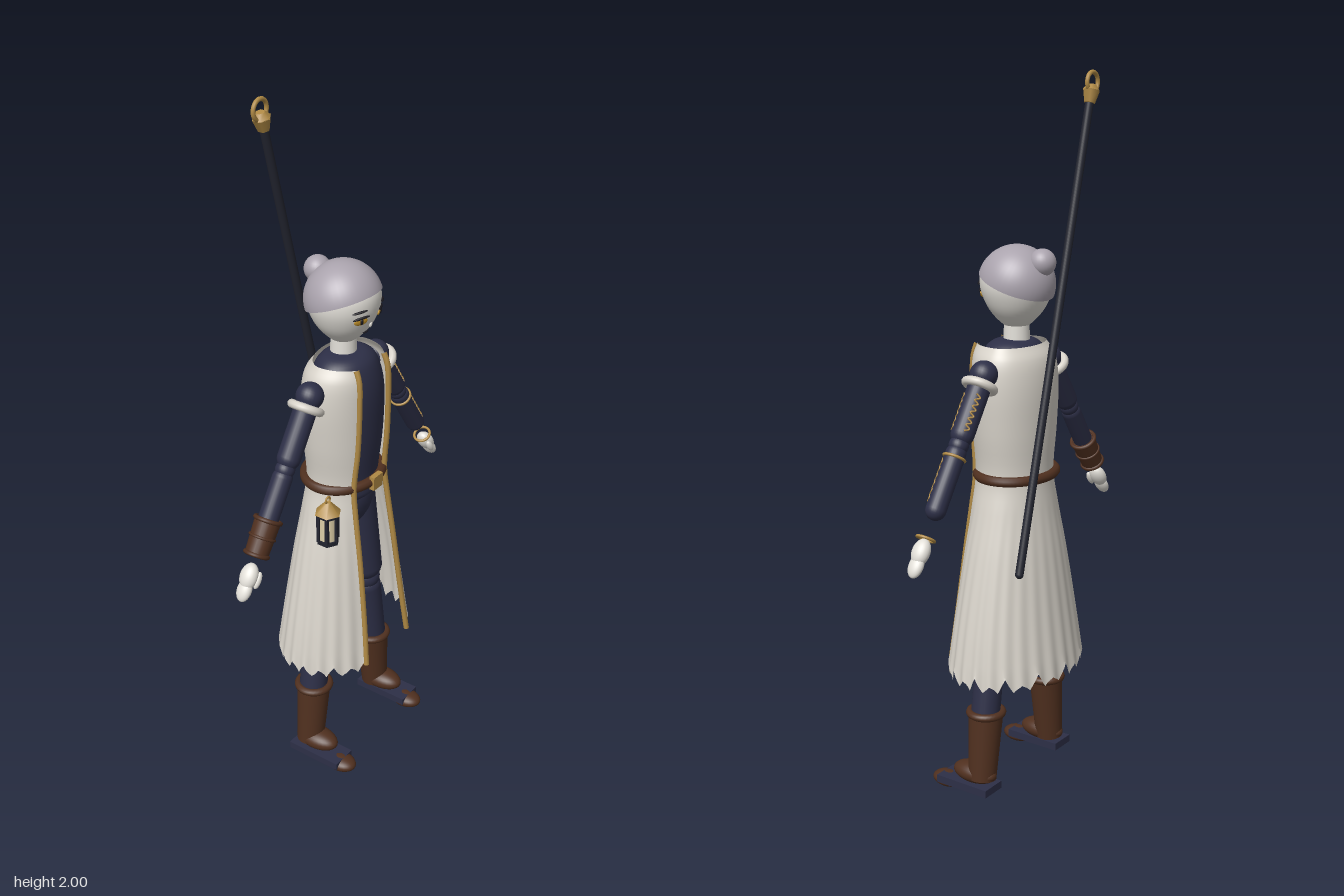
import * as THREE from 'three';

const mat = (name, color, double) => {
  const m = new THREE.MeshStandardMaterial({ color });
  m.name = name;
  if (double) m.side = THREE.DoubleSide;
  return m;
};
const V = (x, y, z = 0) => new THREE.Vector3(x, y, z);

export function createModel() {
  const coatCream = mat('coatCream', 0xd8d3ca, true);
  const skin = mat('skin', 0xe2dfd8);
  const hair = mat('hair', 0xaaa3ad, true);
  const navy = mat('navy', 0x2d2f47);
  const staffDark = mat('staffDark', 0x232530);
  const brown = mat('brown', 0x50301f);
  const gold = mat('gold', 0xb08a45);
  const amber = mat('amber', 0xc8962c, true);
  const ink = mat('ink', 0x1c1a20, true);
  const glow = mat('glow', 0xf2e2b8);

  const model = new THREE.Group();
  const add = (parent, name, geo, m, x = 0, y = 0, z = 0, sx = 1, sy = 1, sz = 1) => {
    const mesh = new THREE.Mesh(geo, m);
    mesh.name = name;
    mesh.position.set(x, y, z);
    mesh.scale.set(sx, sy, sz);
    parent.add(mesh);
    return mesh;
  };
  const ball = (r) => new THREE.SphereGeometry(r, 28, 18);
  const tube = (pts, r, n = 48) => new THREE.TubeGeometry(new THREE.CatmullRomCurve3(pts), n, r, 8);
  // Rounded limb between two points
  const limb = (parent, name, a, b, r, m) => {
    const d = b.clone().sub(a);
    const mesh = add(parent, name, new THREE.CapsuleGeometry(r, Math.max(d.length() - r, 0.01), 8, 24), m);
    mesh.position.copy(a).addScaledVector(d, 0.5);
    mesh.quaternion.setFromUnitVectors(V(0, 1), d.normalize());
    return mesh;
  };
  const lathe = (pts) => new THREE.LatheGeometry(
    new THREE.SplineCurve(pts.map(p => new THREE.Vector2(...p))).getPoints(30), 40);

  // Head, neck and hair
  add(model, 'head', lathe([[0.0005, 1.322], [0.03, 1.331], [0.062, 1.36], [0.085, 1.395], [0.099, 1.44], [0.094, 1.485], [0.06, 1.525], [0.0005, 1.54]]), skin);
  add(model, 'neck', new THREE.CylinderGeometry(0.034, 0.038, 0.12, 24), skin, 0, 1.3);
  add(model, 'hairCap', new THREE.SphereGeometry(0.106, 40, 20, 0, Math.PI * 2, 0, Math.PI / 2), hair, 0, 1.445).rotation.x = -0.36;
  add(model, 'hairBun', ball(0.037), hair, 0, 1.508, -0.083);

  // Face details as thin plates
  const face = (name, m, x, y, w, h, radius, tilt = 0) => {
    const z = Math.sqrt(radius * radius - x * x);
    const g = new THREE.Group();
    g.position.set(x, y, z);
    g.rotation.set(0.2, Math.atan2(x, z), 0, 'YXZ');
    add(g, name, new THREE.SphereGeometry(1, 16, 10), m, 0, 0, 0, w, h, 0.004).rotation.z = tilt;
    model.add(g);
  };
  for (const s of [-1, 1]) {
    face('eye', amber, s * 0.042, 1.417, 0.02, 0.011, 0.094);
    face('pupil', ink, s * 0.042, 1.417, 0.005, 0.009, 0.097);
    face('eyelash', ink, s * 0.044, 1.428, 0.025, 0.004, 0.098, -s * 0.12);
    face('eyebrow', ink, s * 0.05, 1.447, 0.022, 0.003, 0.101, -s * 0.12);
  }
  face('mouth', ink, 0, 1.368, 0.012, 0.002, 0.07);
  face('nose', skin, 0, 1.393, 0.005, 0.008, 0.086);

  // Tunic and hips
  add(model, 'tunic', lathe([[0.0005, 0.86], [0.1, 0.87], [0.104, 0.93], [0.118, 1.05], [0.12, 1.18], [0.1, 1.26], [0.07, 1.29], [0.032, 1.298]]), navy, 0, 0, 0.008, 1, 1, 0.79);
  add(model, 'hips', ball(1), navy, 0, 0.84, 0, 0.105, 0.1, 0.075);

  // Coat: rows of [y, half width, front depth, back depth, half opening]
  const rows = [
    [0.365, 0.227, 0.172, 0.166, 0.103], [0.5, 0.207, 0.155, 0.148, 0.093], [0.7, 0.168, 0.132, 0.122, 0.083],
    [0.83, 0.137, 0.118, 0.103, 0.078], [0.92, 0.118, 0.112, 0.094, 0.074], [1.05, 0.131, 0.115, 0.1, 0.07],
    [1.18, 0.138, 0.115, 0.102, 0.068], [1.25, 0.128, 0.114, 0.09, 0.066], [1.285, 0.106, 0.108, 0.066, 0.064]];
  const spline = (k) => new THREE.CatmullRomCurve3(rows.map(r => V(r[0], r[k])));
  const curves = [1, 2, 3, 4].map(spline);
  const coatPoint = (u, t) => {
    const [a, f, b, o] = curves.map(c => c.getPoint(t));
    const start = Math.asin(o.y / a.y);
    const ang = start + u * (2 * Math.PI - 2 * start);
    const hem = Math.max(0, 1 - t * 2.4);
    const fold = 1 + 0.014 * hem * Math.cos(u * 2 * Math.PI * 22);
    const cos = Math.cos(ang);
    return V(a.y * Math.sin(ang) * fold, a.x, cos * (cos > 0 ? f.y : b.y) * fold);
  };
  const nu = 176, nv = 40, pos = [], idx = [];
  for (let j = 0; j <= nv; j++) {
    for (let i = 0; i <= nu; i++) {
      const p = coatPoint(i / nu, j / nv);
      // Torn hem of uneven points
      if (j === 0) {
        const tooth = Math.abs((i % 8) - 4) / 4;
        p.y += -0.022 + tooth * (0.032 + 0.012 * Math.sin(i * 0.37));
      }
      pos.push(p.x, p.y, p.z);
      if (i < nu && j < nv) {
        const a = j * (nu + 1) + i, b = a + nu + 1;
        idx.push(a, a + 1, b, a + 1, b + 1, b);
      }
    }
  }
  const coat = new THREE.BufferGeometry();
  coat.setAttribute('position', new THREE.Float32BufferAttribute(pos, 3));
  coat.setIndex(idx);
  coat.computeVertexNormals();
  add(model, 'coat', coat, coatCream);
  for (const u of [0, 1]) {
    const edge = [];
    for (let j = 0; j <= 20; j++) edge.push(coatPoint(u, j / 20));
    add(model, 'coatTrim', tube(edge, 0.008), gold);
  }

  // Belt and buckle
  const loop = new THREE.CatmullRomCurve3([...Array(24).keys()].map(i => {
    const a = i / 24 * Math.PI * 2;
    return V(0.122 * Math.sin(a), 0.922, 0.1 * Math.cos(a));
  }), true);
  add(model, 'belt', new THREE.TubeGeometry(loop, 72, 0.014, 10, true), brown);
  add(model, 'buckle', new THREE.BoxGeometry(0.042, 0.04, 0.016), gold, 0, 0.922, 0.11);

  // Hip lantern
  const lantern = new THREE.Group();
  lantern.name = 'lantern';
  lantern.position.set(-0.16, 0.79, 0.062);
  model.add(lantern);
  const hex = (a, b, h) => new THREE.CylinderGeometry(a, b, h, 6).toNonIndexed();
  add(lantern, 'lanternGlass', hex(0.027, 0.027, 0.085), glow, 0, 0.05);
  add(lantern, 'lanternBase', hex(0.032, 0.032, 0.012), staffDark, 0, 0.006);
  add(lantern, 'lanternRim', hex(0.032, 0.032, 0.01), staffDark, 0, 0.09);
  add(lantern, 'lanternRoof', hex(0.008, 0.038, 0.034), gold, 0, 0.112);
  add(lantern, 'lanternLoop', new THREE.TorusGeometry(0.009, 0.003, 8, 16), gold, 0, 0.135);
  for (let i = 0; i < 6; i++) {
    const a = i * Math.PI / 3;
    add(lantern, 'lanternPost', new THREE.BoxGeometry(0.009, 0.085, 0.009), staffDark, 0.028 * Math.sin(a), 0.05, 0.028 * Math.cos(a));
  }

  // Arms, built along local -y and swung outward
  for (const s of [-1, 1]) {
    const arm = new THREE.Group();
    arm.name = s > 0 ? 'leftArm' : 'rightArm';
    arm.position.set(s * 0.145, 1.232, 0);
    arm.rotation.z = s * 0.586;
    model.add(arm);
    const ring = (name, y, r, t, m) => {
      add(arm, name, new THREE.TorusGeometry(r, t, 10, 32), m, 0, -y).rotation.x = Math.PI / 2;
    };
    add(arm, 'shoulder', ball(0.038), navy, 0, -0.012);
    limb(arm, 'upperArm', V(0, 0), V(0, -0.2), 0.032, navy);
    add(arm, 'elbow', ball(0.027), navy, 0, -0.215);
    limb(arm, 'forearm', V(0, -0.225), V(0, -0.41), 0.028, navy);
    ring('shoulderCuff', 0.045, 0.039, 0.012, coatCream);
    add(arm, 'palm', ball(1), skin, 0, -0.512, 0, 0.021, 0.037, 0.026);
    add(arm, 'fingers', ball(1), skin, 0, -0.55, 0, 0.015, 0.033, 0.022);
    add(arm, 'thumb', ball(1), skin, -s * 0.012, -0.515, 0.022, 0.01, 0.024, 0.01);
    if (s < 0) {
      add(arm, 'bracer', new THREE.CylinderGeometry(0.036, 0.032, 0.1, 24), brown, 0, -0.402);
      ring('bracerEdge', 0.355, 0.035, 0.006, brown);
      ring('bracerEdge', 0.45, 0.031, 0.006, brown);
      ring('bracerBand', 0.402, 0.034, 0.004, brown);
    } else {
      ring('elbowBand', 0.25, 0.029, 0.004, gold);
      ring('bracelet', 0.475, 0.024, 0.004, gold);
      // Wavy embroidery on the sleeve
      const stitch = (from, to, r, mid) => {
        const pts = [];
        for (let i = 0; i <= 12; i++) {
          const a = mid + (i % 2 ? 0.2 : -0.2);
          pts.push(V(r * Math.sin(a), -(from + (to - from) * i / 12), r * Math.cos(a)));
        }
        add(arm, 'embroidery', tube(pts, 0.0025, 72), gold);
      };
      stitch(0.075, 0.18, 0.032, 0.75);
      stitch(0.075, 0.18, 0.032, 2.4);
      stitch(0.26, 0.38, 0.028, 0.75);
    }
  }

  // Legs and boots
  for (const s of [-1, 1]) {
    const leg = new THREE.Group();
    leg.name = s > 0 ? 'leftLeg' : 'rightLeg';
    model.add(leg);
    limb(leg, 'thigh', V(s * 0.066, 0.84), V(s * 0.115, 0.51), 0.05, navy);
    add(leg, 'knee', ball(0.04), navy, s * 0.119, 0.485);
    limb(leg, 'shin', V(s * 0.12, 0.47), V(s * 0.16, 0.2), 0.041, navy);
    const shaft = add(leg, 'bootShaft', new THREE.CylinderGeometry(0.049, 0.04, 0.2, 28), brown, s * 0.16, 0.155);
    shaft.rotation.z = s * 0.1;
    const cuff = add(leg, 'bootCuff', new THREE.TorusGeometry(0.046, 0.011, 10, 32), brown, s * 0.15, 0.252);
    cuff.rotation.x = Math.PI / 2;
    add(leg, 'ankle', ball(1), brown, s * 0.17, 0.068, 0.025, 0.04, 0.03, 0.07);
    add(leg, 'toe', ball(1), brown, s * 0.176, 0.024, 0.115, 0.036, 0.022, 0.05);
    add(leg, 'sole', new THREE.BoxGeometry(0.076, 0.022, 0.172), navy, s * 0.177, 0.034, 0.042);
  }

  // Staff slung across the back
  const low = V(0.172, 0.688, -0.128), high = V(-0.155, 1.93, -0.128);
  limb(model, 'staff', low, high, 0.0115, staffDark);
  const head = new THREE.Group();
  head.name = 'staffHead';
  head.position.copy(high);
  head.rotation.z = 0.257;
  model.add(head);
  add(head, 'staffCollar', hex(0.025, 0.016, 0.034), gold, 0, 0.002);
  add(head, 'staffCap', hex(0.012, 0.025, 0.016), gold, 0, 0.026);
  add(head, 'staffRing', new THREE.TorusGeometry(0.026, 0.006, 10, 36, 5.3), gold, 0, 0.04).rotation.z = -1.2;
  return model;
}
